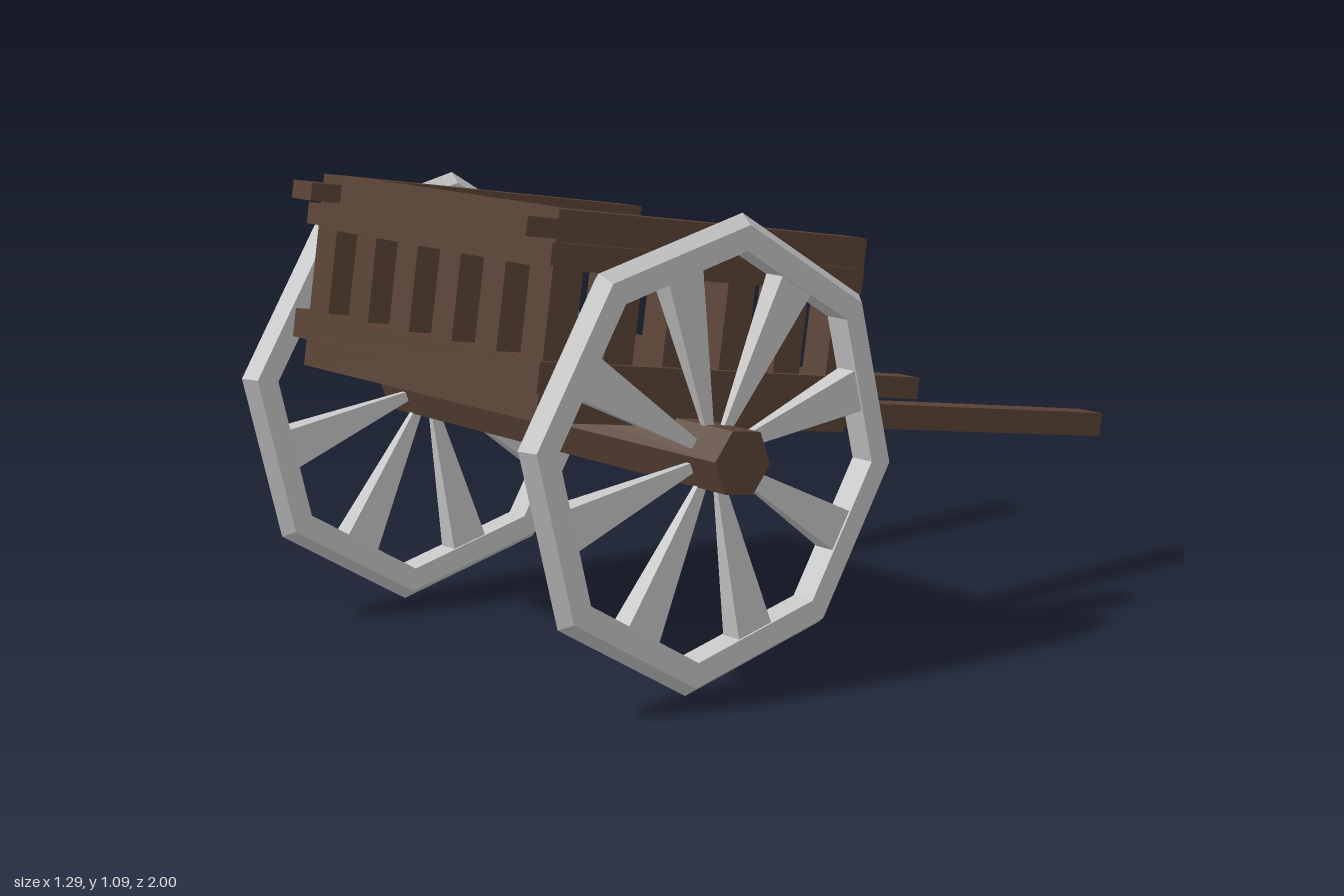
import * as THREE from 'three';

const wood = new THREE.MeshStandardMaterial({ color: 0x5a4335 });
wood.name = 'brown wood';
const paleWood = new THREE.MeshStandardMaterial({ color: 0xc6c6c6 });
paleWood.name = 'pale grey wheel';

// Faceted copy of a geometry
function faceted(geometry) {
  const g = geometry.index ? geometry.toNonIndexed() : geometry;
  g.computeVertexNormals();
  return g;
}

// Box given by its limits along x, y and z
function beam(parent, name, [x0, x1], [y0, y1], [z0, z1]) {
  const mesh = new THREE.Mesh(new THREE.BoxGeometry(x1 - x0, y1 - y0, z1 - z0), wood);
  mesh.position.set((x0 + x1) / 2, (y0 + y1) / 2, (z0 + z1) / 2);
  mesh.name = name;
  parent.add(mesh);
}

// Same box on both sides of the cart
function beamPair(parent, name, [x0, x1], y, z) {
  beam(parent, 'left' + name, [x0, x1], y, z);
  beam(parent, 'right' + name, [-x1, -x0], y, z);
}

// Eight-sided wheel with a ridged rim and tapering spokes; its axis is x
function createWheel(name) {
  const wheel = new THREE.Group();
  wheel.name = name;
  const profile = [[0.512, -0.032], [0.536, 0], [0.512, 0.032], [0.455, 0.032], [0.455, -0.032], [0.512, -0.032]]
    .map(([r, h]) => new THREE.Vector2(r, h));
  const rim = new THREE.Mesh(faceted(new THREE.LatheGeometry(profile, 8).rotateZ(Math.PI / 2)), paleWood);
  rim.name = 'rim';
  wheel.add(rim);

  const inner = 0.05, outer = 0.43;
  const spokeGeometry = faceted(
    new THREE.CylinderGeometry(0.1 * Math.SQRT1_2, 0.02 * Math.SQRT1_2, outer - inner, 4)
      .rotateY(Math.PI / 4)
      .scale(0.55, 1, 1)
      .translate(0, (inner + outer) / 2, 0));
  for (let i = 0; i < 8; i++) {
    const spoke = new THREE.Mesh(spokeGeometry, paleWood);
    spoke.rotation.x = (i + 0.5) * Math.PI / 4;
    spoke.name = 'spoke';
    wheel.add(spoke);
  }
  return wheel;
}

export function createModel() {
  const model = new THREE.Group();
  model.name = 'handcart';

  // Whole cart tips about the axle, so the handles slope down to the back
  const cart = new THREE.Group();
  cart.name = 'tippedCart';
  cart.position.set(0, 0.537, 0.473);
  cart.rotation.x = -0.155;
  model.add(cart);

  // Axle and wheels
  const axle = new THREE.Mesh(faceted(new THREE.CylinderGeometry(0.08, 0.08, 1.29, 6).rotateZ(Math.PI / 2)), wood);
  axle.name = 'axle';
  cart.add(axle);
  for (const side of [1, -1]) {
    const wheel = createWheel(side > 0 ? 'leftWheel' : 'rightWheel');
    wheel.position.x = side * 0.547;
    cart.add(wheel);
  }

  // Floor and handles
  const back = -0.475, front = 0.428, wall = 0.375, outside = 0.455;
  beam(cart, 'floor', [-outside, outside], [0.05, 0.18], [back, front]);
  beamPair(cart, 'Handle', [0.295, wall], [0.05, 0.11], [-1.472, back + 0.01]);

  // Posts of the front and side walls
  for (let i = 0; i < 6; i++) {
    const x = -0.415 + i * 0.166;
    beam(cart, 'frontPost', [x - 0.04, x + 0.04], [0.17, 0.38], [0.347, front]);
    if (i < 5) {
      const z = -0.435 + i * 0.1645;
      beamPair(cart, 'SidePost', [wall, outside], [0.17, 0.38], [z - 0.04, z + 0.04]);
    }
  }

  // Top bars
  beam(cart, 'frontTopBar', [-wall, wall], [0.375, 0.503], [0.345, front]);
  beamPair(cart, 'TopBar', [wall, outside], [0.375, 0.503], [back, front]);
  beamPair(cart, 'BarEnd', [wall, outside], [0.44, 0.482], [front - 0.02, 0.509]);

  // Thin rails around the outside
  beam(cart, 'frontUpperRail', [-0.473, 0.473], [0.383, 0.433], [front, 0.45]);
  beamPair(cart, 'UpperRail', [outside, 0.473], [0.383, 0.433], [-0.46, front]);
  beam(cart, 'frontLowerRail', [-0.478, 0.478], [0.114, 0.181], [front, 0.452]);
  beamPair(cart, 'LowerRail', [outside, 0.478], [0.114, 0.181], [-0.46, front]);

  return model;
}
